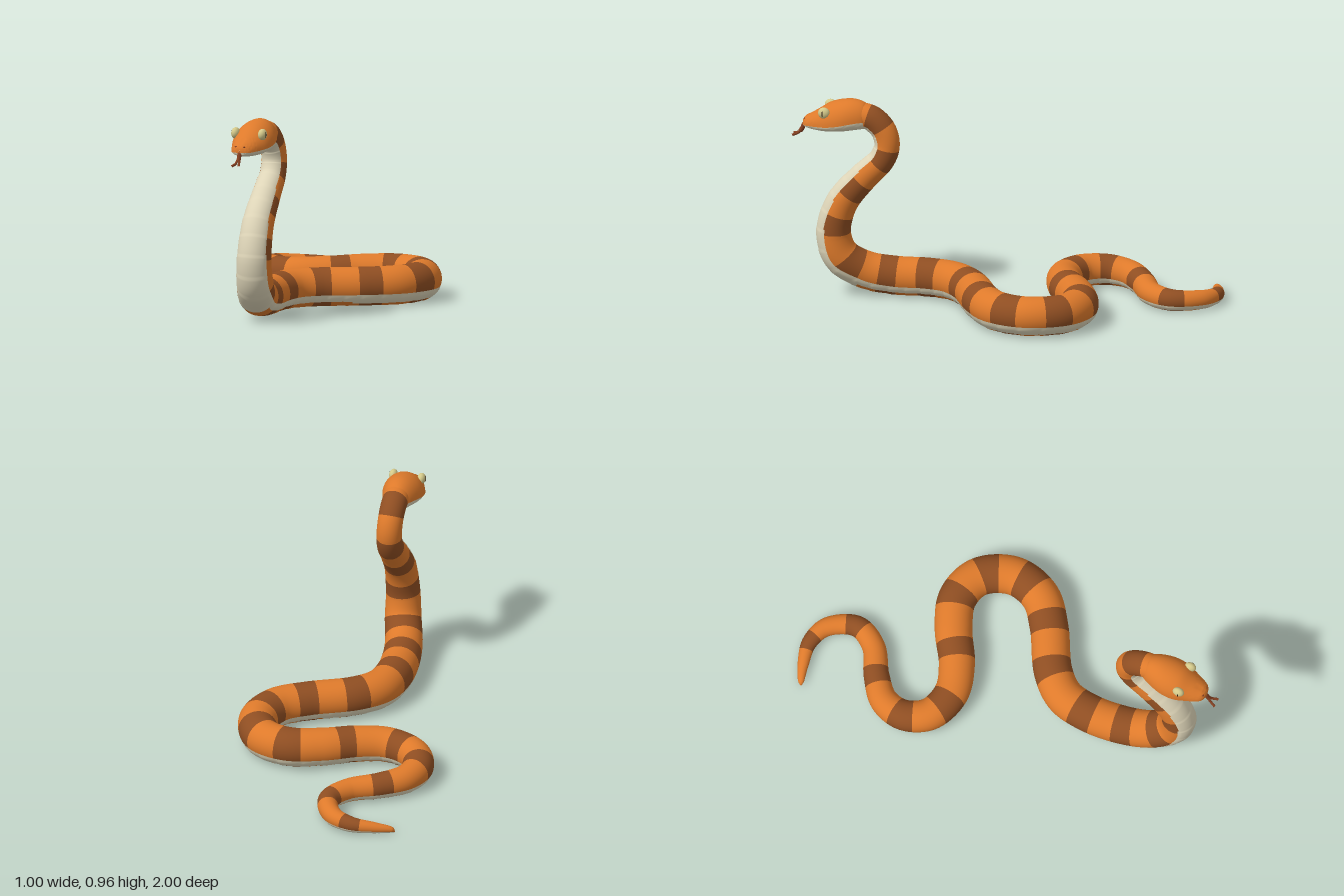
import * as THREE from 'three';
import { toCreasedNormals } from 'three/addons/utils/BufferGeometryUtils.js';

const material = (name, color) => {
  const m = new THREE.MeshStandardMaterial({ color });
  m.name = name;
  return m;
};

// Skins closed rings of equal size; pick(i, j) chooses the material group of each quad.
function loft(rings, groupCount, pick) {
  const n = rings[0].length;
  const lists = Array.from({ length: groupCount }, () => []);
  for (let i = 0; i < rings.length - 1; i++) {
    for (let j = 0; j < n; j++) {
      const k = (j + 1) % n;
      const a = i * n + j, b = i * n + k, c = a + n, d = b + n;
      lists[pick(i, j)].push(a, b, c, b, d, c);
    }
  }
  const geo = new THREE.BufferGeometry().setFromPoints(rings.flat());
  geo.setIndex(lists.flat());
  let start = 0;
  lists.forEach((list, g) => {
    geo.addGroup(start, list.length, g);
    start += list.length;
  });
  geo.computeVertexNormals();
  return geo;
}

// Spine from tail to head: x, z, radius and, where raised, y
const SPINE = [
  [-0.468, -0.915, 0.003], [-0.455, -0.921, 0.014], [-0.38, -0.945, 0.026], [-0.27, -0.962, 0.036],
  [-0.17, -0.92, 0.044], [-0.11, -0.79, 0.05], [-0.17, -0.68, 0.054], [-0.3, -0.605, 0.06],
  [-0.4, -0.52, 0.066], [-0.428, -0.41, 0.072], [-0.375, -0.3, 0.076], [-0.24, -0.25, 0.081],
  [-0.1, -0.285, 0.084], [0.05, -0.37, 0.088], [0.2, -0.417, 0.09], [0.335, -0.37, 0.09],
  [0.407, -0.22, 0.091], [0.365, -0.07, 0.091], [0.245, 0.03, 0.09], [0.05, 0.14, 0.09],
  [-0.04, 0.24, 0.09], [-0.067, 0.37, 0.09], [-0.06, 0.52, 0.09], [-0.035, 0.66, 0.088, 0.12],
  [0, 0.765, 0.086, 0.19], [0.01, 0.8, 0.081, 0.29], [0.012, 0.79, 0.078, 0.38],
  [0.01, 0.75, 0.074, 0.475], [0.008, 0.655, 0.067, 0.59], [0.005, 0.57, 0.061, 0.68],
  [0.002, 0.547, 0.059, 0.75], [0, 0.565, 0.059, 0.82], [0, 0.62, 0.06, 0.873], [0, 0.7, 0.06, 0.89],
];

// Stripe centres: x, y, z
const STRIPES = [
  [-0.27, 0.04, -0.96], [-0.11, 0.055, -0.8], [-0.31, 0.065, -0.61], [-0.43, 0.075, -0.41],
  [-0.3, 0.085, -0.258], [-0.045, 0.09, -0.31], [0.19, 0.095, -0.417], [0.37, 0.095, -0.335],
  [0.4, 0.095, -0.14], [0.25, 0.095, 0.025], [0.055, 0.095, 0.138], [-0.065, 0.095, 0.36],
  [-0.06, 0.095, 0.56], [-0.02, 0.16, 0.73], [0, 0.36, 0.8], [0, 0.54, 0.7], [0, 0.69, 0.56],
  [0, 0.86, 0.6],
];

function bodyGeometry() {
  const STEPS = 16, SIDES = 72;
  const spans = SPINE.length - 1, count = spans * STEPS;
  const curve = new THREE.CatmullRomCurve3(
    SPINE.map(([x, z, r, y]) => new THREE.Vector3(x, y ?? r + 0.005, z)));
  const up = new THREE.Vector3(0, 1, 0);
  const centres = [], radii = [], arc = [], turns = [], rings = [];

  for (let i = 0; i <= count; i++) {
    const t = i / count, s = Math.min(Math.floor(i / STEPS), spans - 1);
    const c = curve.getPoint(t), T = curve.getTangent(t);
    const r = THREE.MathUtils.lerp(SPINE[s][2], SPINE[s + 1][2], i / STEPS - s);
    arc.push(i ? arc[i - 1] + c.distanceTo(centres[i - 1]) : 0);
    centres.push(c);
    radii.push(r);
    // Back points up on the ground; in the raised neck the sides stay on x
    const raise = THREE.MathUtils.smoothstep(c.y, 0.1, 0.22);
    const S = up.clone().cross(T).normalize().lerp(new THREE.Vector3(1, 0, 0), raise);
    S.addScaledVector(T, -S.dot(T)).normalize();
    const D = T.clone().cross(S);
    turns.push(Math.sign(curve.getTangent(Math.min(t + 0.01, 1)).dot(S)));
    const scute = 1 + 0.025 * ((arc[i] / 0.08) % 1);
    const ring = [];
    for (let j = 0; j < SIDES; j++) {
      const a = (j / SIDES) * Math.PI * 2;
      const rr = Math.cos(a) > 0.5 ? r * scute : r;
      const p = c.clone().addScaledVector(D, -Math.cos(a) * rr).addScaledVector(S, Math.sin(a) * rr);
      p.y = Math.max(p.y, 0.005);
      ring.push(p);
    }
    rings.push(ring);
  }

  const stripeArcs = STRIPES.map((p) => {
    const v = new THREE.Vector3(...p);
    let best = 0;
    centres.forEach((c, i) => {
      if (c.distanceTo(v) < centres[best].distanceTo(v)) best = i;
    });
    return arc[best];
  });

  // 0 scales, 1 stripe, 2 belly
  return loft(rings, 3, (i, j) => {
    const fromBelly = Math.min(j + 0.5, SIDES - j - 0.5) * (360 / SIDES);
    const side = j < SIDES / 2 ? 1 : -1;
    // On the ground the belly shows as a band, broader outside each bend than inside
    const resting = centres[i].y < 0.125 && radii[i] > 0.045;
    const inner = !resting ? 0 : side === turns[i] ? 47 : 35;
    const outer = 70 - 14 * THREE.MathUtils.smoothstep(centres[i].y, 0.2, 0.7);
    if (fromBelly > inner && fromBelly < outer) return 2;
    const mid = (arc[i] + arc[i + 1]) / 2;
    const half = 0.034 + radii[i] * 0.16;
    return stripeArcs.some((s) => Math.abs(s - mid) < half) ? 1 : 0;
  });
}

// Head stations: z, top, mouth line, chin, half width
const HEAD = [
  [0.62, 0.9, 0.868, 0.85, 0.03], [0.65, 0.943, 0.868, 0.826, 0.06], [0.7, 0.96, 0.863, 0.815, 0.082],
  [0.76, 0.956, 0.851, 0.806, 0.095], [0.82, 0.938, 0.84, 0.802, 0.091], [0.87, 0.905, 0.834, 0.803, 0.073],
  [0.91, 0.88, 0.831, 0.808, 0.057], [0.935, 0.866, 0.829, 0.814, 0.042], [0.946, 0.853, 0.829, 0.819, 0.025],
  [0.95, 0.841, 0.829, 0.825, 0.003],
];

// Half of the head: the skull above the mouth line or the jaw below it
function headHalf(lower) {
  const curve = (k) => new THREE.CatmullRomCurve3(HEAD.map((h) => new THREE.Vector3(h[0], h[k], 0)));
  const [tops, mouths, chins, widths] = [1, 2, 3, 4].map(curve);
  const rings = [];
  for (let i = 0; i <= 45; i++) {
    const t = i / 45, z = mouths.getPoint(t).x;
    const m = mouths.getPoint(t).y, w = widths.getPoint(t).y * (lower ? 0.95 : 1);
    const h = lower ? m - chins.getPoint(t).y : tops.getPoint(t).y - m;
    const ring = [];
    for (let j = 0; j <= 20; j++) {
      const a = (j / 20 + (lower ? 1 : 0)) * Math.PI;
      ring.push(new THREE.Vector3(w * Math.cos(a), m + h * Math.sin(a), z));
    }
    rings.push(ring);
  }
  const geo = loft(rings, 1, () => 0);
  geo.clearGroups();
  return toCreasedNormals(geo, 0.9);
}

export function createModel() {
  const scales = material('orange scales', 0xde7a2b);
  const stripe = material('brown stripe', 0x8f4e22);
  const cream = material('cream belly', 0xded5b8);
  const eyeColor = material('pale yellow eye', 0xd4c98a);
  const tongueColor = material('red brown tongue', 0x843f20);
  const dark = material('dark pupil', 0x2a1a10);

  const model = new THREE.Group();
  model.name = 'snake';
  const add = (name, geo, mat, parent = model) => {
    const mesh = new THREE.Mesh(geo, mat);
    mesh.name = name;
    parent.add(mesh);
    return mesh;
  };
  const ball = (name, mat, parent, pos, size) => {
    const mesh = add(name, new THREE.SphereGeometry(1, 20, 14), mat, parent);
    mesh.position.set(...pos);
    mesh.scale.set(...size);
  };

  add('body', bodyGeometry(), [scales, stripe, cream]);

  const head = new THREE.Group();
  head.name = 'head';
  model.add(head);
  add('skull', headHalf(false), scales, head);
  add('lowerJaw', headHalf(true), cream, head);

  // Eyes and nostrils on both sides
  for (const [side, sx] of [['left', 1], ['right', -1]]) {
    ball(side + 'Eye', eyeColor, head, [sx * 0.068, 0.904, 0.834], [0.02, 0.027, 0.028]);
    ball(side + 'Pupil', dark, head, [sx * 0.0855, 0.904, 0.838], [0.0035, 0.014, 0.0035]);
    ball(side + 'Nostril', tongueColor, head, [sx * 0.021, 0.856, 0.938], [0.007, 0.003, 0.005]);
  }

  // Forked tongue
  const tongue = new THREE.Group();
  tongue.name = 'tongue';
  head.add(tongue);
  const strand = (name, points, radius) => add(name, new THREE.TubeGeometry(
    new THREE.CatmullRomCurve3(points.map((p) => new THREE.Vector3(...p))), 12, radius, 8), tongueColor, tongue);
  strand('tongueStem', [[0, 0.832, 0.92], [0, 0.824, 0.943], [0, 0.803, 0.953], [0, 0.787, 0.963]], 0.0105);
  for (const sx of [1, -1]) {
    strand('tongueFork', [[sx * 0.004, 0.797, 0.957], [sx * 0.009, 0.78, 0.972], [sx * 0.02, 0.77, 0.998]], 0.006);
  }
  return model;
}
